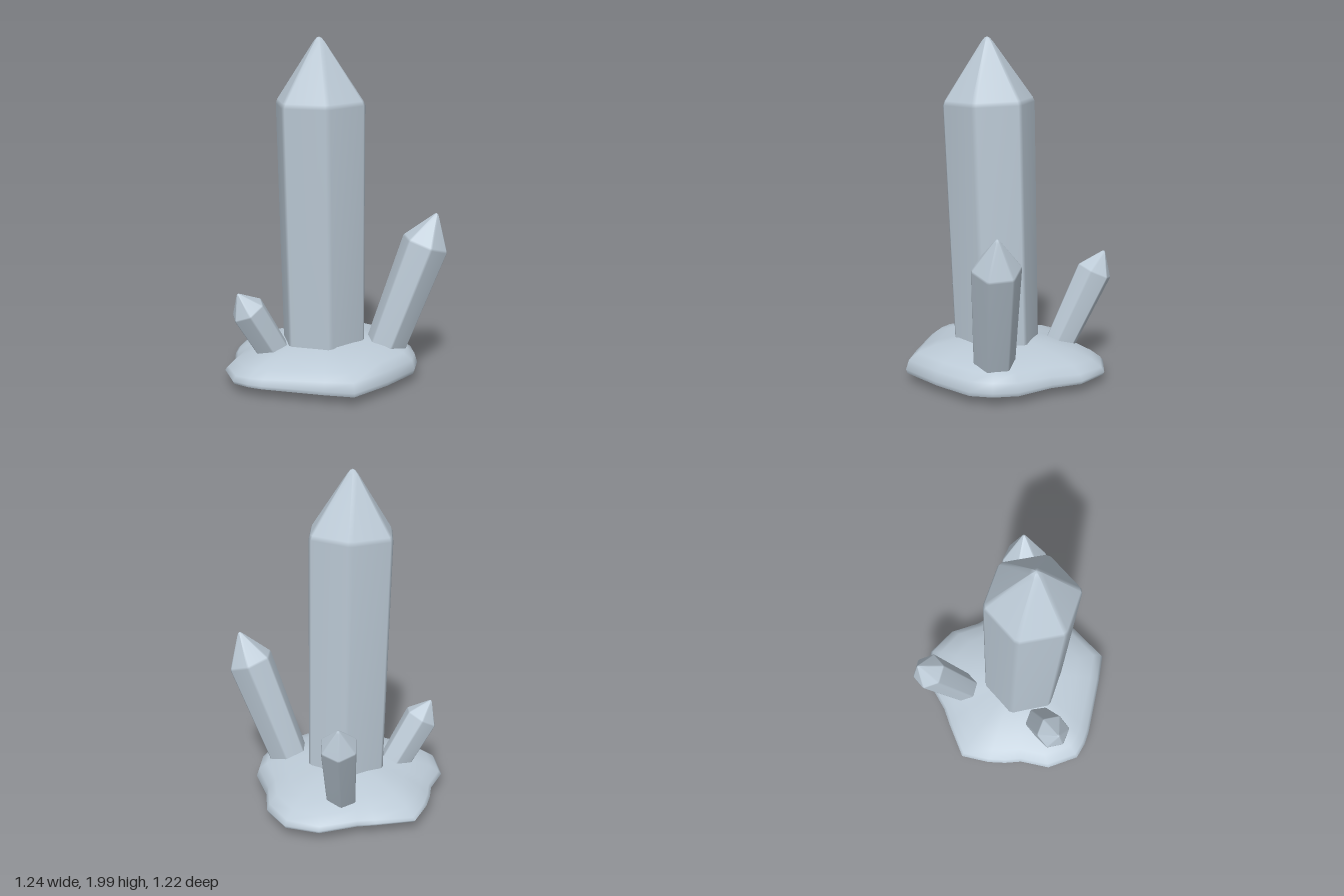
import * as THREE from 'three';
import { mergeVertices } from 'three/addons/utils/BufferGeometryUtils.js';

const stone = new THREE.MeshStandardMaterial({ color: 0xbccad6 });
stone.name = 'pale blue stone';

// Skin closed rings of points, listed from bottom to top
function loft(rings, weld = true) {
  const n = rings[0].length;
  const positions = rings.flat().flatMap((p) => [p.x, p.y, p.z]);
  const index = [];
  for (let r = 0; r < rings.length - 1; r++) {
    for (let i = 0; i < n; i++) {
      const j = (i + 1) % n;
      const a = r * n + i, c = r * n + j, b = a + n, d = c + n;
      index.push(a, b, c, c, b, d);
    }
  }
  let geometry = new THREE.BufferGeometry();
  geometry.setAttribute('position', new THREE.Float32BufferAttribute(positions, 3));
  geometry.setIndex(index);
  if (weld) geometry = mergeVertices(geometry, 1e-5);
  geometry.computeVertexNormals();
  return geometry;
}

// Hexagon whose corners are each cut by a narrow bevel
function hexRing(radius, height, phase) {
  const bevel = 0.06;
  const corner = (k) => {
    const a = THREE.MathUtils.degToRad(phase + 60 * k);
    return new THREE.Vector3(Math.cos(a) * radius, height, Math.sin(a) * radius);
  };
  const ring = [];
  for (let k = 0; k < 6; k++) {
    ring.push(corner(k).lerp(corner(k - 1), bevel), corner(k).lerp(corner(k + 1), bevel));
  }
  return ring;
}

// Pointed six-sided crystal running from base to tip
function crystal(name, { base, tip, shoulder, r0, r1, phase = 42 }) {
  const from = new THREE.Vector3(...base);
  const axis = new THREE.Vector3(...tip).sub(from);
  const length = axis.length();
  const s = shoulder * length;
  const cap = length - s;
  const profile = [
    [0, 0], [r0 * 0.93, 0], [r0, r0 * 0.06],
    [r1, s - cap * 0.03], [r1 * 0.96, s + cap * 0.04],
    [r1 * 0.13, length - cap * 0.08], [r1 * 0.06, length - cap * 0.02], [0, length],
  ];
  const mesh = new THREE.Mesh(loft(profile.map(([r, h]) => hexRing(r, h, phase))), stone);
  mesh.name = name;
  mesh.position.copy(from);
  mesh.quaternion.setFromUnitVectors(new THREE.Vector3(0, 1, 0), axis.normalize());
  return mesh;
}

// Irregular rock slab with a domed top and a flat underside
function rockBase() {
  const outline = [
    [-0.62, 0], [-0.5, -0.2], [-0.44, -0.29], [-0.35, -0.5], [-0.18, -0.61], [0.02, -0.585],
    [0.17, -0.48], [0.38, -0.395], [0.48, -0.29], [0.54, -0.17], [0.53, 0.08], [0.485, 0.34],
    [0.33, 0.42], [0, 0.57], [-0.08, 0.595], [-0.18, 0.605], [-0.345, 0.495], [-0.42, 0.33],
    [-0.49, 0.25], [-0.55, 0.16],
  ];
  const ring = (scale, y, tilt) =>
    outline.map(([x, z]) => new THREE.Vector3(x * scale, y + x * tilt, z * scale));
  const group = new THREE.Group();
  group.name = 'rockBase';
  const top = new THREE.Mesh(loft([
    ring(0.985, 0.06, 0), ring(1, 0.08, 0.01), ring(0.97, 0.115, 0.05), ring(0.88, 0.155, 0.05),
    ring(0.7, 0.195, 0.04), ring(0.45, 0.228, 0.03), ring(0.2, 0.243, 0.01), ring(0, 0.245, 0),
  ]), stone);
  top.name = 'rockTop';
  const underside = new THREE.Mesh(loft([ring(0, 0.06, 0), ring(0.985, 0.06, 0)]), stone);
  underside.name = 'rockUnderside';
  group.add(top, underside);
  return group;
}

export function createModel() {
  const model = new THREE.Group();
  model.name = 'crystalCluster';
  model.add(
    rockBase(),
    crystal('mainCrystal', {
      base: [0.015, 0.04, 0.018], tip: [0.03, 2, 0.082], shoulder: 0.813, r0: 0.256, r1: 0.273,
    }),
    crystal('leftCrystal', {
      base: [0.28, 0.04, -0.15], tip: [0.545, 0.987, -0.37], shoulder: 0.81, r0: 0.118, r1: 0.142,
    }),
    crystal('rightBackCrystal', {
      base: [-0.22, 0.05, -0.215], tip: [-0.445, 0.727, -0.435], shoulder: 0.82, r0: 0.09, r1: 0.112,
    }),
    crystal('rightFrontCrystal', {
      base: [-0.12, 0.055, 0.215], tip: [-0.245, 0.553, 0.485], shoulder: 0.79, r0: 0.095, r1: 0.107,
    }),
  );
  return model;
}
